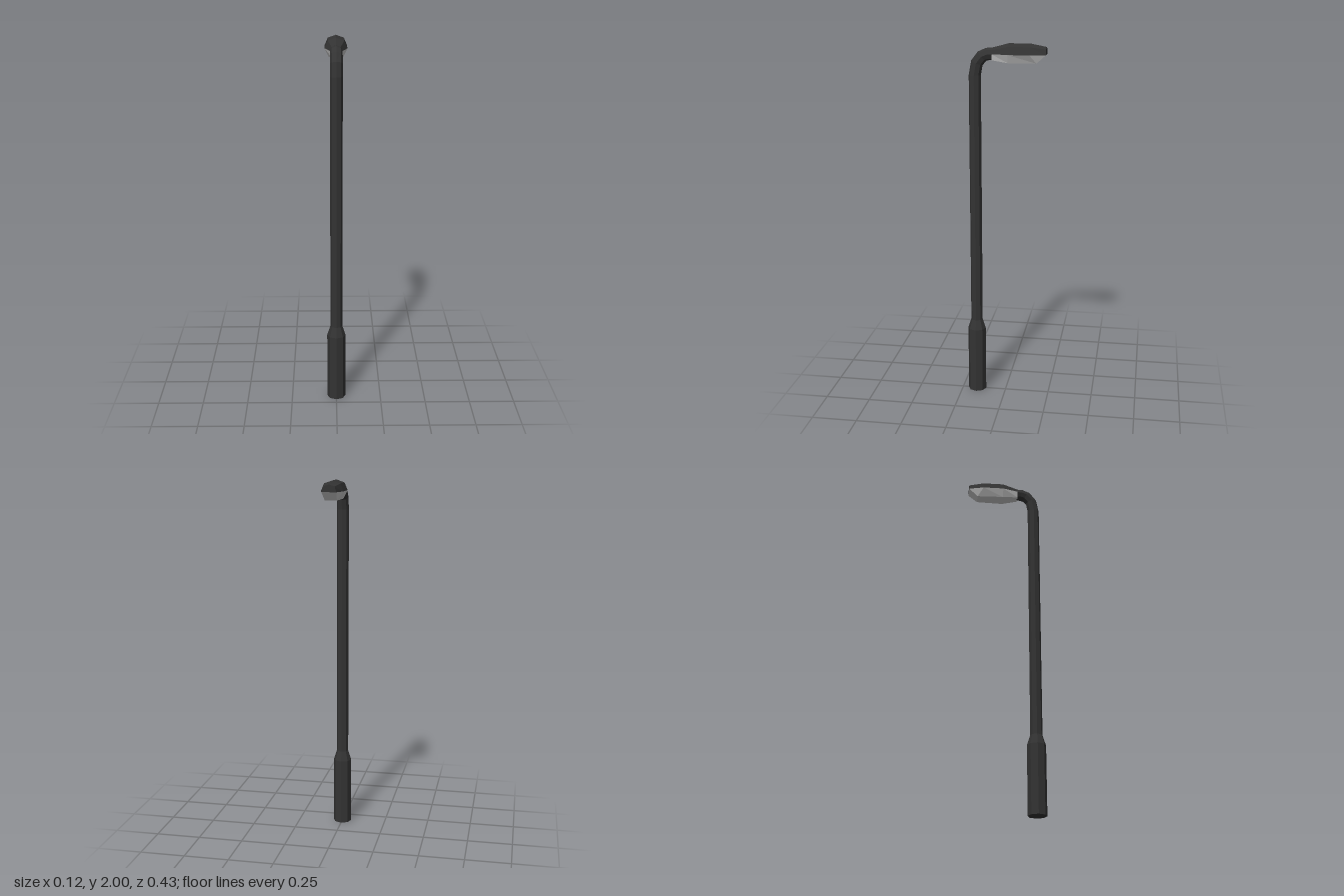
import * as THREE from 'three';

const dark = new THREE.MeshStandardMaterial({ color: 0x333333, flatShading: true });
const pale = new THREE.MeshStandardMaterial({ color: 0xcccccc, flatShading: true });

// Skin a list of equal-sized rings (counter-clockwise about the travel direction), closing the chosen ends
function loft(name, rings, material, capStart = true, capEnd = true) {
  const pos = [];
  const tri = (...pts) => pts.forEach((p) => pos.push(...p));
  const n = rings[0].length;
  for (let r = 0; r + 1 < rings.length; r++) {
    const a = rings[r], b = rings[r + 1];
    for (let i = 0; i < n; i++) {
      const j = (i + 1) % n;
      tri(a[i], a[j], b[j]);
      tri(a[i], b[j], b[i]);
    }
  }
  const first = rings[0], last = rings[rings.length - 1];
  for (let i = 1; i + 1 < n; i++) {
    if (capStart) tri(first[0], first[i + 1], first[i]);
    if (capEnd) tri(last[0], last[i], last[i + 1]);
  }
  const g = new THREE.BufferGeometry();
  g.setAttribute('position', new THREE.Float32BufferAttribute(pos, 3));
  g.computeVertexNormals();
  const mesh = new THREE.Mesh(g, material);
  mesh.name = name;
  return mesh;
}

// Octagon around (y, z), leaning towards -z by the given angle in degrees
function octagon([y, z, radius, lean]) {
  const a = THREE.MathUtils.degToRad(lean);
  return Array.from({ length: 8 }, (_, i) => {
    const t = (i * Math.PI) / 4;
    const out = radius * Math.cos(t);
    return [radius * Math.sin(t), y + out * Math.sin(a), z + out * Math.cos(a)];
  });
}

export function createModel() {
  const group = new THREE.Group();
  group.name = 'streetLamp';

  // Thick foot tapering into the pole: y, z, radius, lean
  const foot = [[0, 0.165, 0.051, 0], [0.38, 0.165, 0.051, 0], [0.435, 0.165, 0.033, 0]];
  group.add(loft('foot', foot.map(octagon), dark, true, false));

  // Pole bending over into the arm
  const pole = [
    [0.435, 0.165, 0.033, 0], [1.83, 0.165, 0.033, 0], [1.895, 0.153, 0.033, 22],
    [1.93, 0.125, 0.033, 48], [1.942, 0.095, 0.033, 75], [1.943, 0.066, 0.033, 90],
  ];
  group.add(loft('pole', pole.map(octagon), dark, false, true));

  // Lamp housing: z, rim half width, shoulder half width, shoulder height, ridge height
  const rimY = 1.945;
  const housing = [
    [0.07, 0.033, 0.024, 1.966, 1.976],
    [-0.018, 0.06, 0.043, 1.985, 2.0],
    [-0.134, 0.06, 0.043, 1.985, 2.0],
    [-0.218, 0.039, 0.03, 1.974, 1.984],
  ].map(([z, w, s, sy, top]) => [
    [0, top, z], [s, sy, z], [w, rimY, z], [-w, rimY, z], [-s, sy, z],
  ]);
  group.add(loft('lampHousing', housing, dark));

  // Lens below the rim: rim z, rim half width, lower z, lower half width, lower height
  const lens = [
    [0.07, 0.033, 0.07, 0.023, 1.912],
    [-0.018, 0.06, -0.018, 0.038, 1.9],
    [-0.134, 0.06, -0.168, 0.032, 1.9],
    [-0.218, 0.039, -0.218, 0.039, rimY],
  ].map(([z, w, lz, lw, ly]) => [
    [w, rimY, z], [lw, ly, lz], [-lw, ly, lz], [-w, rimY, z],
  ]);
  group.add(loft('lens', lens, pale, true, false));

  return group;
}
